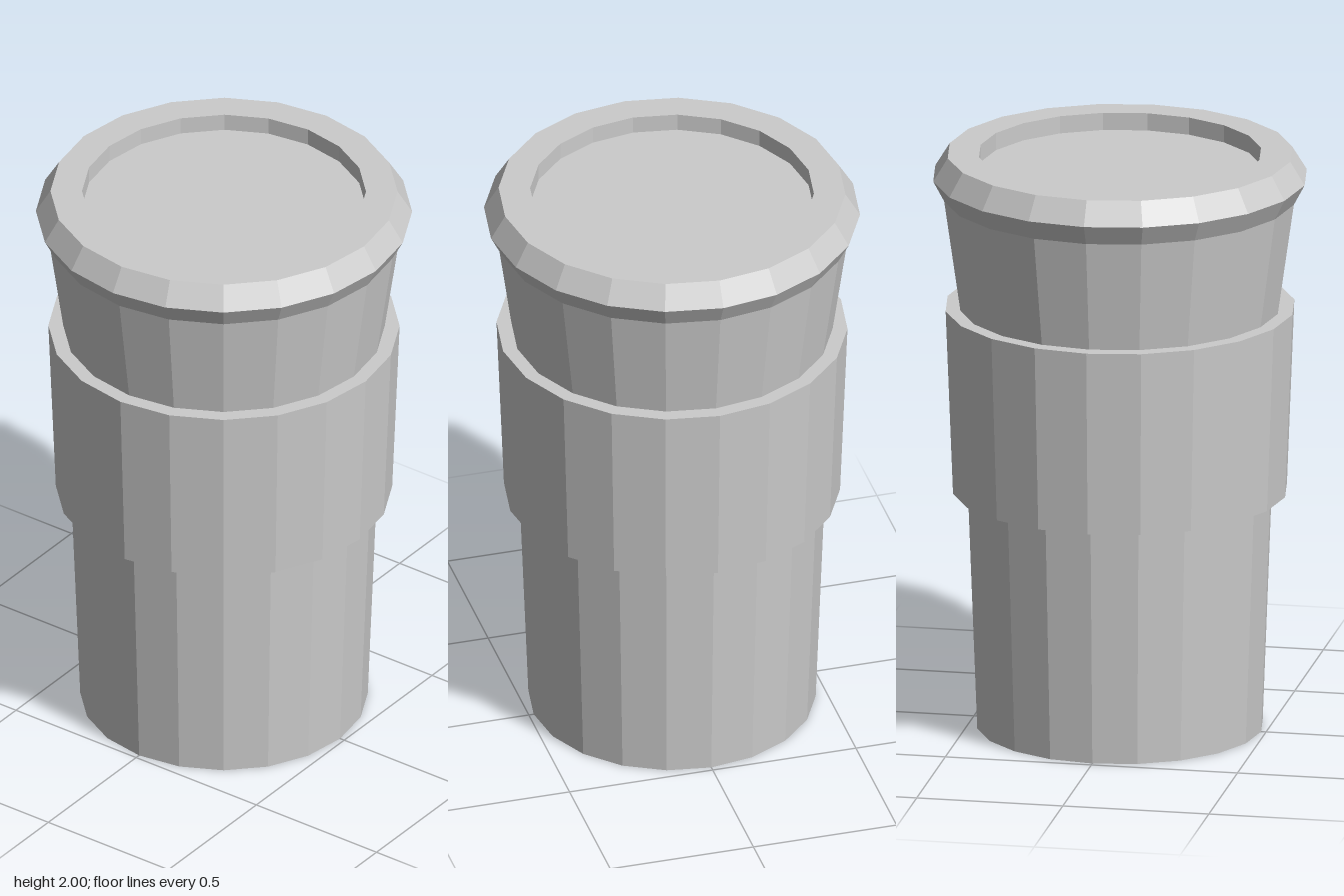
import * as THREE from 'three';

const SIDES = 20;

export function createModel() {
  const cup = new THREE.Group();
  cup.name = 'travelCup';
  const material = new THREE.MeshStandardMaterial({ color: 0xcccccc, flatShading: true });

  // Turns a [radius, height] profile, listed bottom to top, into a faceted solid
  const addTurned = (name, profile) => {
    const points = profile.map(([r, y]) => new THREE.Vector2(r, y));
    const mesh = new THREE.Mesh(new THREE.LatheGeometry(points, SIDES), material);
    mesh.name = name;
    cup.add(mesh);
  };

  // Tapered body with a flat base, flaring above the sleeve
  addTurned('body', [[0, 0], [0.483, 0], [0.538, 1.45], [0.595, 1.85]]);

  // Grip sleeve standing proud of the body, with a ledge at each end
  addTurned('sleeve', [[0.5, 0.825], [0.565, 0.825], [0.59, 1.465], [0.53, 1.465]]);

  // Lid with a bevelled rim and a sunken centre
  addTurned('lid', [
    [0.595, 1.85], [0.632, 1.92], [0.583, 2], [0.477, 2], [0.477, 1.94], [0, 1.94],
  ]);

  return cup;
}
